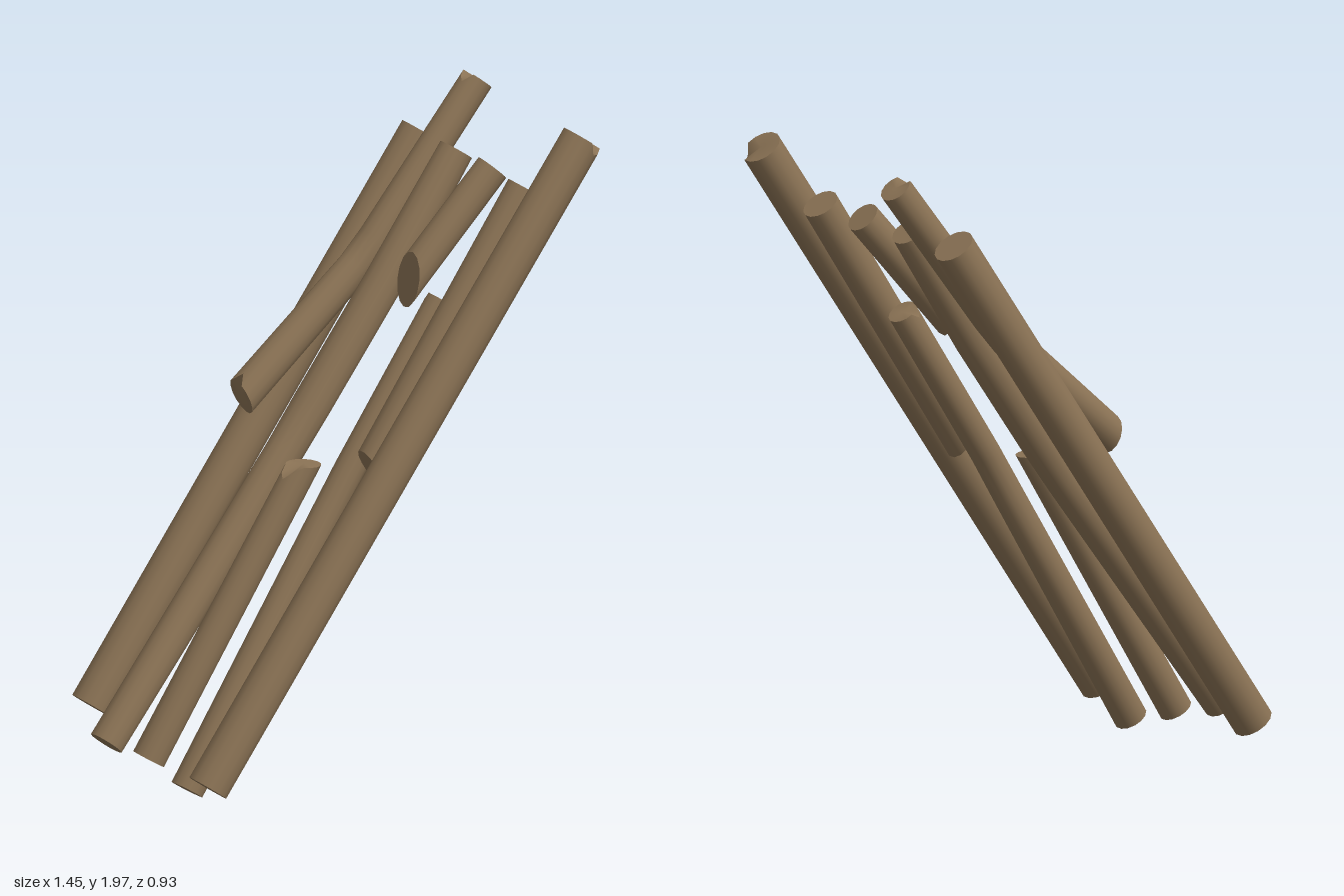
import * as THREE from 'three';

const SIDES = 14;
const wood = new THREE.MeshStandardMaterial({ color: 0x8b7355 });
wood.name = 'weatheredWood';

// A round pole through rings [x, y, z, radius].
// Each end may be cut: tilt across z, tilt across the upper side, and notches {side index: depth}.
function poleGeometry(rings, startCut = {}, endCut = {}) {
  const pos = [];
  const index = [];
  const centres = rings.map(([x, y, z]) => new THREE.Vector3(x, y, z));
  const last = rings.length - 1;
  rings.forEach((ring, i) => {
    const r = ring[3];
    const t = new THREE.Vector3();
    if (i > 0) t.add(centres[i].clone().sub(centres[i - 1]).normalize());
    if (i < last) t.add(centres[i + 1].clone().sub(centres[i]).normalize());
    t.normalize();
    const v = new THREE.Vector3(0, 0, 1).cross(t).normalize();
    const u = v.clone().cross(t);
    const cut = i === 0 ? startCut : i === last ? endCut : {};
    const inward = i === 0 ? 1 : -1;
    for (let j = 0; j < SIDES; j++) {
      const a = (j / SIDES) * Math.PI * 2;
      const c = Math.cos(a), s = Math.sin(a);
      const along = (cut.z || 0) * c + (cut.up || 0) * s + inward * ((cut.notch || {})[j] || 0);
      const p = centres[i].clone().addScaledVector(u, r * c).addScaledVector(v, r * s).addScaledVector(t, along);
      pos.push(p.x, p.y, p.z);
    }
  });
  for (let i = 0; i < last; i++) {
    for (let j = 0; j < SIDES; j++) {
      const k = (j + 1) % SIDES;
      const a = i * SIDES + j, b = i * SIDES + k;
      index.push(a, b, a + SIDES, b, b + SIDES, a + SIDES);
    }
  }
  // End caps with their own corners, so the rims stay sharp
  for (const i of [0, last]) {
    const base = pos.length / 3;
    pos.push(...pos.slice(i * SIDES * 3, (i + 1) * SIDES * 3), ...centres[i].toArray());
    for (let j = 0; j < SIDES; j++) {
      const a = base + j, b = base + ((j + 1) % SIDES);
      if (i === 0) index.push(base + SIDES, b, a);
      else index.push(base + SIDES, a, b);
    }
  }
  const g = new THREE.BufferGeometry();
  g.setAttribute('position', new THREE.Float32BufferAttribute(pos, 3));
  g.setIndex(index);
  g.computeVertexNormals();
  return g;
}

export function createModel() {
  const group = new THREE.Group();
  group.name = 'leaningPoles';

  const poles = [
    // Outer poles
    { name: 'frontPole', rings: [[-0.61, 0.1, 0.4, 0.064], [0.667, 1.95, 0.4, 0.064]],
      end: { notch: { 8: 0.03, 9: 0.02 } } },
    { name: 'backPole', rings: [[-0.575, 0.148, -0.4, 0.064], [0.55, 1.785, -0.4, 0.064]] },
    // Upper stub with a splintered lower end
    { name: 'frontUpperStub', rings: [[0.015, 0.98, 0.273, 0.057], [0.54, 1.78, 0.273, 0.057]],
      start: { up: 0.03 } },
    // Bent pole, broken off above
    { name: 'bentShortPole', rings: [[-0.575, 0.04, 0.205, 0.052], [-0.08, 0.82, 0.168, 0.048],
      [0.0, 0.95, 0.165, 0.047], [0.315, 1.435, 0.163, 0.046]], end: { notch: { 1: 0.03, 2: 0.02 } } },
    // Middle pole snapped in two
    { name: 'middleLowerHalf', rings: [[-0.61, 0.095, 0.028, 0.052], [-0.1, 0.955, 0.063, 0.049]],
      end: { up: -0.025, notch: { 3: 0.03, 4: 0.045, 5: 0.02 } } },
    { name: 'middleUpperHalf', rings: [[0.273, 1.47, 0.033, 0.053], [0.55, 1.785, 0.05, 0.052]],
      start: { z: -0.015, up: 0.07 } },
    // Long pole with a gentle bend
    { name: 'bentLongPole', rings: [[-0.69, 0.125, -0.09, 0.054], [-0.05, 0.93, -0.153, 0.058],
      [0.05, 1.065, -0.16, 0.06], [0.3, 1.42, -0.162, 0.06], [0.547, 1.785, -0.172, 0.054]] },
    // Sagging upper pole
    { name: 'backUpperStub', rings: [[-0.125, 1.08, -0.283, 0.056], [0.26, 1.43, -0.283, 0.053],
      [0.33, 1.51, -0.283, 0.052], [0.68, 1.96, -0.283, 0.05]],
      start: { up: 0.02, notch: { 4: 0.03 } }, end: { notch: { 3: 0.02, 4: 0.035 } } },
  ];

  for (const { name, rings, start, end } of poles) {
    const mesh = new THREE.Mesh(poleGeometry(rings, start, end), wood);
    mesh.name = name;
    group.add(mesh);
  }
  return group;
}
